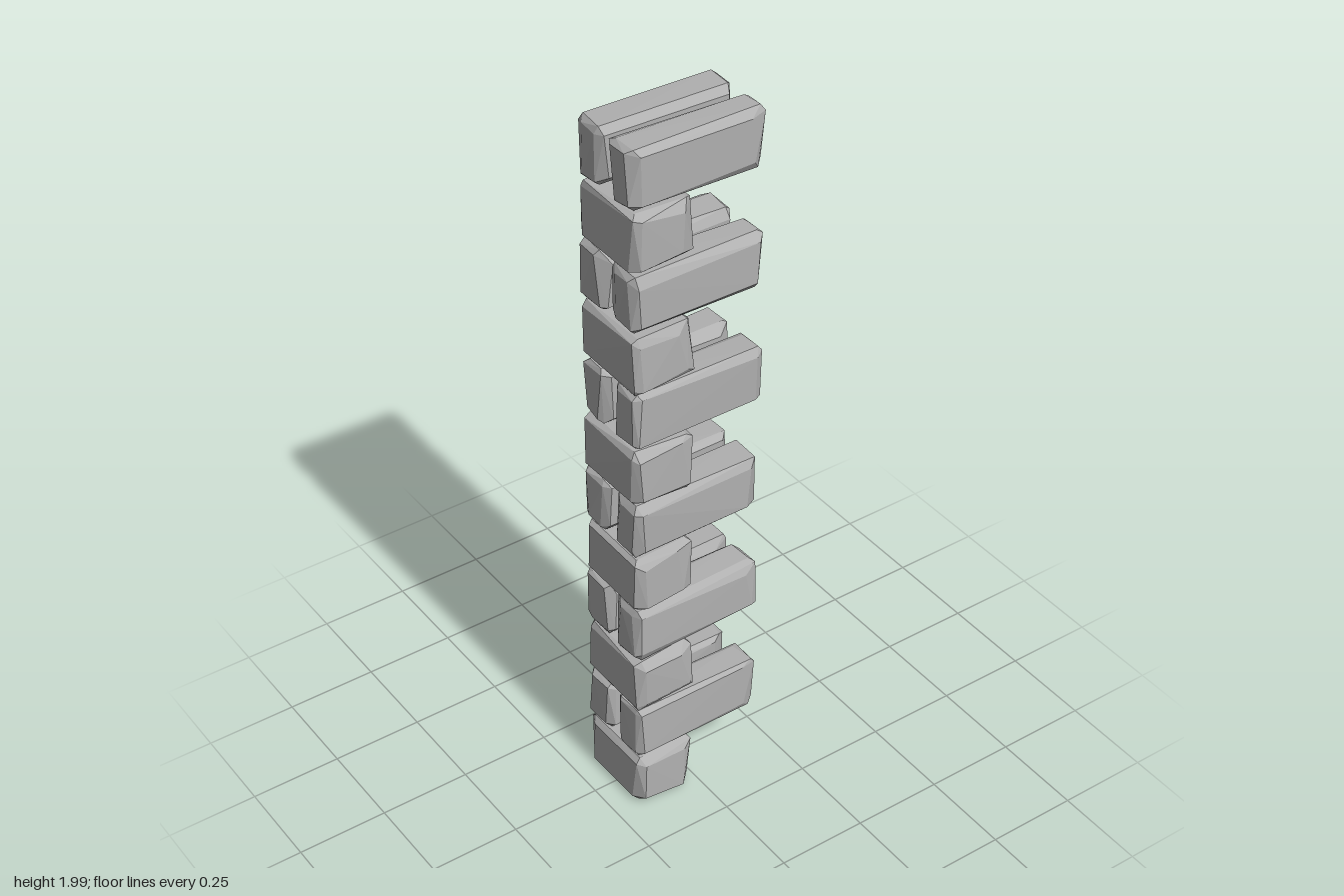
import * as THREE from 'three';
import { ConvexGeometry } from 'three/addons/geometries/ConvexGeometry.js';

// small seeded random source
function seeded(seed) {
  let s = seed;
  return (a, b) => {
    s = (s * 16807) % 2147483647;
    return a + (b - a) * (s / 2147483647);
  };
}

// Rough-hewn stone: a box whose eight corners are chipped into three points each
function stoneGeometry(min, max, rnd, innerChip) {
  const points = [];
  for (const sx of [-1, 1]) for (const sy of [-1, 1]) for (const sz of [-1, 1]) {
    const x = sx < 0 ? min[0] : max[0];
    const y = sy < 0 ? min[1] : max[1];
    const z = sz < 0 ? min[2] : max[2];
    const chip = sx > 0 ? innerChip : 0.03;
    const at = (dx, dy, dz) => points.push(new THREE.Vector3(x - sx * dx, y - sy * dy, z - sz * dz));
    at(rnd(0, 0.005), rnd(0.01, 0.022), rnd(0.012, 0.04));   // on the end
    at(rnd(0.008, 0.022), rnd(0, 0.005), rnd(0.014, 0.036)); // on the top or bottom
    at(rnd(0.012, chip), rnd(0.012, 0.032), rnd(0, 0.006));  // on the front or back
  }
  return new ConvexGeometry(points);
}

export function createModel() {
  const model = new THREE.Group();
  model.name = 'quoinStones';
  const stone = new THREE.MeshStandardMaterial({ color: 0xb0b0b0, flatShading: true });
  stone.name = 'grey stone';
  const rnd = seeded(4711);
  const courses = 12, pitch = 2 / courses;

  const addStone = (name, min, max, chip) => {
    const mesh = new THREE.Mesh(stoneGeometry(min, max, rnd, chip), stone);
    mesh.name = name;
    model.add(mesh);
  };

  for (let i = 0; i < courses; i++) {
    const y0 = i * pitch + 0.001, y1 = (i + 1) * pitch - 0.001;
    if (i % 2 === 0) {
      // single short stone laid across the wall
      addStone('shortStone', [-0.19, y0, -0.122], [-0.013, y1, 0.124], 0.055);
    } else {
      // pair of long stones side by side
      addStone('longStoneFront', [-0.19, y0, 0.004], [0.19, y1, 0.12], 0.05);
      addStone('longStoneBack', [-0.19, y0, -0.125], [0.19, y1, -0.009], 0.05);
    }
  }
  return model;
}
